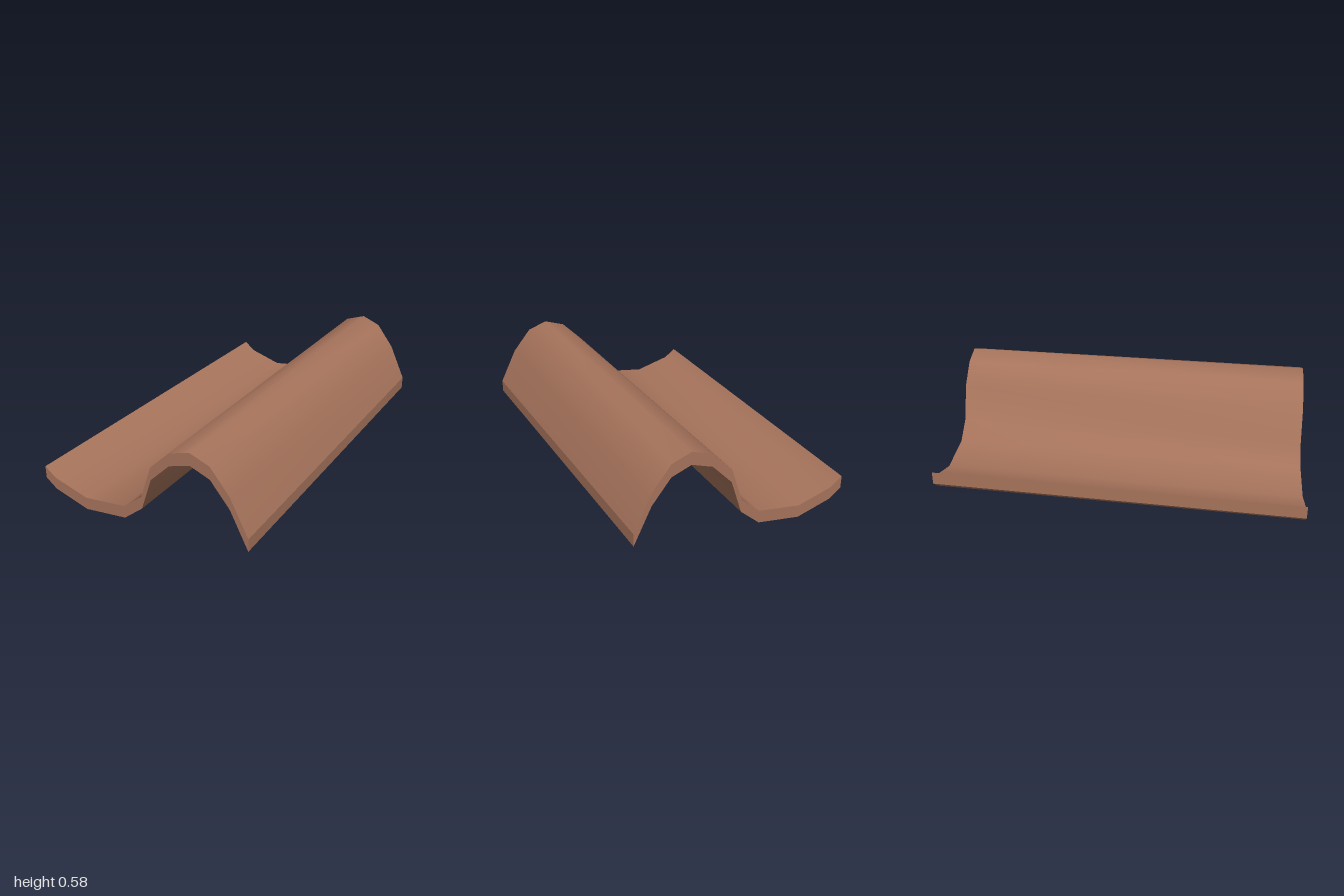
import * as THREE from 'three';
import { mergeGeometries } from 'three/addons/utils/BufferGeometryUtils.js';

const THICKNESS = 0.07;

// Underside of the S-shaped cross-section at the wide front end
const PROFILE = [
  [-0.637, 0.11], [-0.57, 0.06], [-0.36, 0.003], [-0.103, 0.04], [0.013, 0.136], [0.079, 0.324],
  [0.194, 0.438], [0.315, 0.478], [0.428, 0.438], [0.536, 0.309], [0.636, 0.112],
];

// One row of points across the tile
function row(z, widthScale, lift) {
  return PROFILE.map(([x, y]) => [x * widthScale, y + lift, z]);
}

// Band of quads from row a up to row b, smooth along its length
function strip(a, b) {
  const n = a.length;
  const index = [];
  for (let i = 0; i < n - 1; i++) index.push(i, i + 1, n + i + 1, i, n + i + 1, n + i);
  const geometry = new THREE.BufferGeometry();
  geometry.setAttribute('position', new THREE.Float32BufferAttribute([...a, ...b].flat(), 3));
  geometry.setIndex(index);
  geometry.computeVertexNormals();
  return geometry;
}

export function createModel() {
  const clay = new THREE.MeshStandardMaterial({ color: 0xa6735b });
  clay.name = 'terracotta clay';

  // The back end is narrower and slightly raised so tiles can overlap
  const frontLow = row(1, 1, 0);
  const frontHigh = row(1, 1, THICKNESS);
  const backLow = row(-1, 0.937, 0.036);
  const backHigh = row(-1, 0.937, 0.036 + THICKNESS);
  const last = PROFILE.length - 1;

  const geometry = mergeGeometries([
    strip(frontHigh, backHigh), // upper face
    strip(backLow, frontLow), // underside
    strip(frontLow, frontHigh), // front end
    strip(backHigh, backLow), // back end
    strip([frontLow[last], backLow[last]], [frontHigh[last], backHigh[last]]), // left edge
    strip([backLow[0], frontLow[0]], [backHigh[0], frontHigh[0]]), // right edge
  ]);

  const tile = new THREE.Mesh(geometry, clay);
  tile.name = 'roofTile';
  const group = new THREE.Group();
  group.name = 'curvedRoofTile';
  group.add(tile);
  return group;
}
